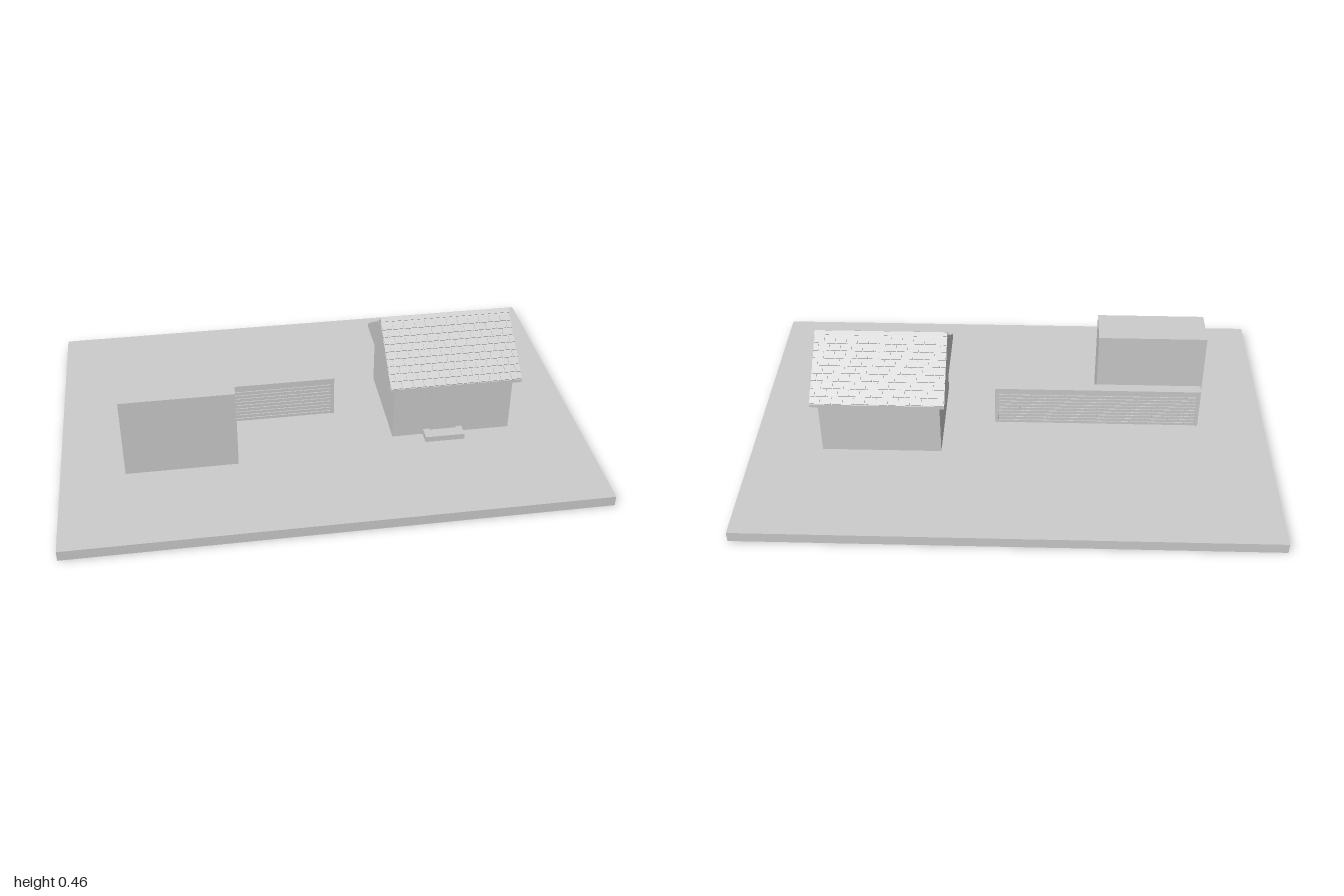
import * as THREE from 'three';
import { mergeGeometries } from 'three/addons/utils/BufferGeometryUtils.js';

const plaster = new THREE.MeshStandardMaterial({ color: 0xcccccc });
plaster.name = 'light grey';

// Box geometry from its low and high limits on each axis
function block(x0, x1, y0, y1, z0, z1) {
  return new THREE.BoxGeometry(x1 - x0, y1 - y0, z1 - z0)
    .translate((x0 + x1) / 2, (y0 + y1) / 2, (z0 + z1) / 2);
}

function add(parent, name, geometry) {
  const mesh = new THREE.Mesh(geometry, plaster);
  mesh.name = name;
  parent.add(mesh);
  return mesh;
}

// Profile of [z, y] points swept along x from x0 to x1
function prism(points, x0, x1) {
  const shape = new THREE.Shape(points.map(([z, y]) => new THREE.Vector2(-z, y)));
  return new THREE.ExtrudeGeometry(shape, { depth: x1 - x0, bevelEnabled: false })
    .rotateY(Math.PI / 2).translate(x0, 0, 0);
}

// Staggered courses: calls back with the limits of each piece
function courses(x0, x1, length, rows, length2, gap, place) {
  const h = length2 / rows;
  for (let r = 0; r < rows; r++) {
    const start = x0 - (r % 2 ? length / 2 : 0);
    for (let x = start; x < x1 - 0.001; x += length) {
      const a = Math.max(x0, x + gap / 2);
      const b = Math.min(x1, x + length - gap / 2);
      if (b - a > 0.004) place(a, b, r * h + gap / 2, (r + 1) * h - gap / 2);
    }
  }
}

function createHouse() {
  const house = new THREE.Group();
  house.name = 'house';
  add(house, 'houseWalls', block(0.267, 0.727, 0.04, 0.28, -0.2, 0.2));
  add(house, 'door', block(0.41, 0.515, 0.06, 0.262, 0.2, 0.207));
  add(house, 'doorStep', block(0.387, 0.54, 0.04, 0.063, 0.2, 0.253));

  // Solid gable roof with a small ridge cap
  const x0 = 0.245, x1 = 0.75;
  const eaveZ = 0.235, eaveY = 0.287, ridgeY = 0.447;
  add(house, 'roof', prism(
    [[-eaveZ, 0.274], [eaveZ, 0.274], [eaveZ, eaveY], [0, ridgeY], [-eaveZ, eaveY]], x0, x1));
  add(house, 'ridgeCap', prism(
    [[0, 0.44], [0.015, 0.451], [0, 0.461], [-0.015, 0.451]], x0, x1));

  // Thin staggered tiles on both slopes
  const rise = ridgeY - eaveY;
  const slope = Math.hypot(eaveZ, rise);
  const tiles = [];
  courses(x0, x1, x1 / 12 - x0 / 12, 9, slope - 0.012, 0.004, (a, b, s0, s1) => {
    tiles.push(block(a, b, 0, 0.004, -s1, -s0));
  });
  for (const side of [1, -1]) {
    const geometry = mergeGeometries(tiles)
      .rotateX(Math.atan2(rise, eaveZ))
      .translate(0, eaveY, eaveZ);
    if (side < 0) {
      geometry.translate(-(x0 + x1) / 2, 0, 0).rotateY(Math.PI).translate((x0 + x1) / 2, 0, 0);
    }
    add(house, side > 0 ? 'frontRoofTiles' : 'backRoofTiles', geometry);
  }
  return house;
}

function createGardenWall() {
  const wall = new THREE.Group();
  wall.name = 'gardenWall';
  const x0 = -0.737, x1 = 0.066;
  add(wall, 'wallCore', block(x0 + 0.01, x1 - 0.01, 0.04, 0.2, -0.013, 0.013));
  add(wall, 'wallCap', block(x0, x1, 0.196, 0.21, -0.02, 0.02));
  for (const x of [x0, x1 - 0.012]) {
    add(wall, 'endPost', block(x, x + 0.012, 0.04, 0.196, -0.017, 0.017));
  }

  // Bricks standing slightly proud of both faces
  const bricks = [];
  courses(x0 + 0.014, x1 - 0.014, 0.0431, 10, 0.156, 0.004, (a, b, y0, y1) => {
    bricks.push(block(a, b, 0.04 + y0, 0.04 + y1, -0.017, 0.017));
  });
  add(wall, 'bricks', mergeGeometries(bricks));
  return wall;
}

export function createModel() {
  const model = new THREE.Group();
  model.name = 'houseAndYard';
  add(model, 'groundSlab', block(-1, 1, 0, 0.04, -0.667, 0.667));
  add(model, 'tallBlock', block(-0.76, -0.338, 0.04, 0.362, 0.12, 0.28));
  model.add(createGardenWall(), createHouse());
  return model;
}
